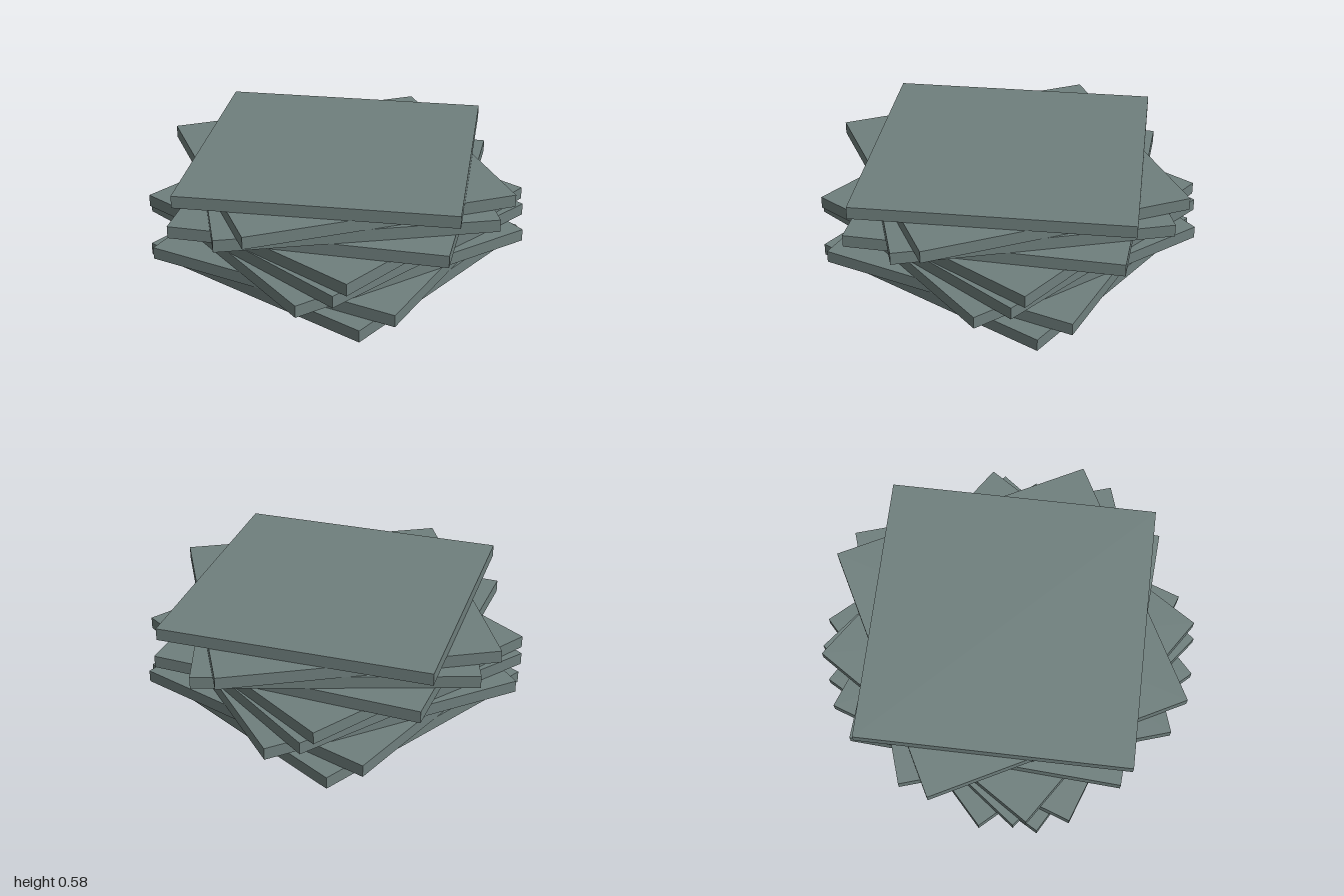
import * as THREE from 'three';

export function createModel() {
  const model = new THREE.Group();
  model.name = 'slabStack';

  const slate = new THREE.MeshStandardMaterial({ color: 0x6f7f7d });
  slate.name = 'slateGrey';

  // Nine equal square slabs, bottom to top, each turned by its own angle (degrees)
  const turns = [0, 10, -17.5, -7.3, -3.5, 26.3, -42.4, -32.5, 29.9];
  const side = 1.415;
  const thickness = 0.58 / turns.length;
  const slabGeometry = new THREE.BoxGeometry(side, thickness, side);

  turns.forEach((turn, i) => {
    const slab = new THREE.Mesh(slabGeometry, slate);
    slab.name = `slab${i + 1}`;
    slab.position.y = (i + 0.5) * thickness;
    slab.rotation.y = THREE.MathUtils.degToRad(turn);
    model.add(slab);
  });

  return model;
}
